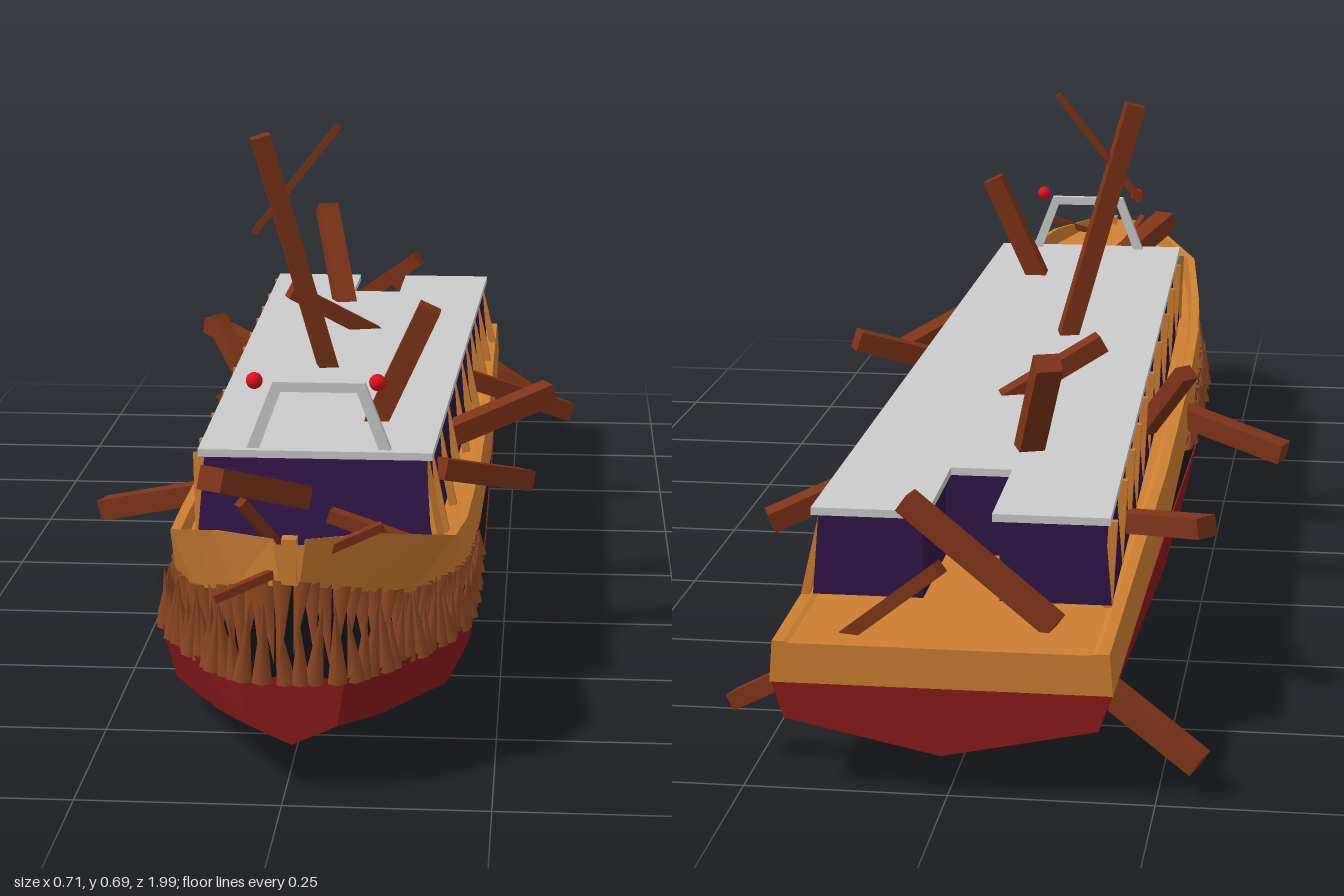
import * as THREE from 'three';
import { toCreasedNormals } from 'three/addons/utils/BufferGeometryUtils.js';

const mat = (color, extra = {}) => new THREE.MeshStandardMaterial({ color, side: THREE.DoubleSide, ...extra });
const M = {
  red: mat(0x8b1a1a), orange: mat(0xcd7f32), black: mat(0x0c0c0c), wood: mat(0x7d3417),
  tooth: mat(0x8f4a22), glass: mat(0x301548), grey: mat(0xcccccc), lamp: mat(0xe01020),
};

function add(parent, name, geometry, material) {
  const mesh = new THREE.Mesh(geometry, material);
  mesh.name = name;
  parent.add(mesh);
  return mesh;
}

// Skin over cross-sections (arrays of [x, y, z]), with optional end caps
function loft(rings, caps = false) {
  const pos = [];
  const tri = (a, b, c) => pos.push(...a, ...b, ...c);
  for (let i = 0; i < rings.length - 1; i++) {
    const a = rings[i], b = rings[i + 1];
    for (let j = 0; j < a.length - 1; j++) {
      tri(a[j], a[j + 1], b[j]);
      tri(a[j + 1], b[j + 1], b[j]);
    }
  }
  if (caps) {
    const s = rings[0], e = rings[rings.length - 1];
    for (let j = 1; j < s.length - 1; j++) {
      tri(s[0], s[j + 1], s[j]);
      tri(e[0], e[j], e[j + 1]);
    }
  }
  const g = new THREE.BufferGeometry();
  g.setAttribute('position', new THREE.Float32BufferAttribute(pos, 3));
  g.computeVertexNormals();
  return g;
}

// Full section from its +x half, running from one edge to the other
const mirror = (half) => [...half, ...half.slice().reverse().map(([x, y, z]) => [-x, y, z])];

// Lower jaw: z, rim half width, rim y, chine half width, chine y, keel y
const LOWER = [
  [-1, .205, .135, .19, .09, .05], [-.25, .213, .125, .203, .045, 0], [.2, .213, .1, .203, .045, .003],
  [.5, .21, .105, .198, .047, .006], [.68, .195, .122, .175, .05, .01],
  [.85, .13, .135, .1, .065, .035], [.955, .065, .145, .055, .085, .06],
];
// Upper jaw: z, lower half width, lower y, sheer half width, sheer y, deck y
const UPPER = [
  [-1, .207, .135, .203, .187, .185], [-.25, .211, .125, .206, .193, .19], [.2, .205, .135, .202, .205, .195],
  [.5, .198, .165, .195, .222, .205], [.65, .18, .187, .185, .24, .215],
  [.8, .135, .207, .165, .282, .24], [.9, .075, .237, .1, .31, .285], [.975, .012, .265, .02, .322, .315],
];

// Linear lookup of a column of a station table
function at(table, z, k) {
  let i = 0;
  while (i < table.length - 2 && table[i + 1][0] < z) i++;
  const [a, b] = [table[i], table[i + 1]];
  return THREE.MathUtils.lerp(a[k], b[k], THREE.MathUtils.clamp((z - a[0]) / (b[0] - a[0]), 0, 1));
}

const roofY = (z) => .34 - .035 * (.62 - z) / 1.46;
const cabinHalf = (z) => .153 + .034 * (.62 - z) / 1.46;

// Notched cabin plan pulled up between two heights that depend on z
function cabinBlock(inset, low, high, slant) {
  const s = new THREE.Shape();
  const f = .153 - inset, b = .187 - inset, n = .04 + inset, front = -.62 + inset, back = .84 - inset;
  [[f, front], [b, back], [n, back], [n, .66 - inset], [-n, .66 - inset], [-n, back], [-b, back], [-f, front]]
    .forEach(([x, y], i) => (i ? s.lineTo(x, y) : s.moveTo(x, y)));
  const g = new THREE.ExtrudeGeometry(s, { depth: 1, bevelEnabled: false });
  g.rotateX(-Math.PI / 2);
  const p = g.attributes.position;
  for (let i = 0; i < p.count; i++) {
    const z = p.getZ(i), top = p.getY(i) > .5;
    p.setY(i, top ? high(z) : low(z));
    if (!top && z > .5) p.setZ(i, z + slant);
    if (!top && Math.abs(p.getX(i)) > .1) p.setX(i, p.getX(i) + Math.sign(p.getX(i)) * slant * .25);
  }
  g.computeVertexNormals();
  return g;
}

// Square beam between two points
function beam(parent, name, a, b, w, material, h = w) {
  const A = new THREE.Vector3(...a), B = new THREE.Vector3(...b);
  const m = add(parent, name, new THREE.BoxGeometry(w, h, A.distanceTo(B)), material);
  m.position.copy(A).add(B).multiplyScalar(.5);
  m.lookAt(B);
  return m;
}

// Row of cones round one jaw; dir is +1 for rising teeth and -1 for hanging ones
function teethRow(parent, name, table, dir, count) {
  const half = table.filter((r) => r[0] >= -.1).map((r) => [r[1] - .008, r[2], r[0]]);
  const path = [...half, ...half.slice().reverse().map(([x, y, z]) => [-x, y, z])];
  const curve = new THREE.CatmullRomCurve3(path.map((p) => new THREE.Vector3(...p)), false, 'centripetal');
  const row = new THREE.Group();
  row.name = name;
  for (let i = 0; i < count; i++) {
    const p = curve.getPointAt((i + .5) / count);
    const len = (.02 + .075 * Math.max(0, p.z)) * (.85 + .3 * Math.abs(Math.sin(i * 2.3)));
    const tooth = add(row, 'tooth', new THREE.ConeGeometry(.006 + len * .07, len, 6), M.tooth);
    tooth.position.set(p.x, p.y + dir * (len / 2 - .006), p.z);
    tooth.rotation.set(dir > 0 ? .12 : Math.PI - .12, 0, Math.sin(i * 1.7) * .12);
  }
  parent.add(row);
}

export function createModel() {
  const model = new THREE.Group();
  const boat = new THREE.Group();
  boat.name = 'boat';
  boat.position.x = .008;
  model.add(boat);

  // Lower hull and upper hull
  const lowerRings = LOWER.map(([z, w, y, cw, cy, k]) => mirror([[w, y, z], [cw, cy, z], [0, k, z]]));
  add(boat, 'lowerHull', toCreasedNormals(loft(lowerRings, true), .5), M.red);
  const upperRings = UPPER.map(([z, w, y, sw, sy, d]) =>
    mirror([[w, y, z], [sw, sy, z], [sw * .93, sy, z], [sw * .9, d, z]]));
  add(boat, 'upperHull', loft(upperRings, true), M.orange);
  add(boat, 'bowPost', new THREE.BoxGeometry(.018, .055, .02), M.orange).position.set(0, .295, .97);

  // Dark mouth lining
  add(boat, 'mouthFloor', loft(LOWER.slice(1).map(([z, w, y]) => mirror([[w - .002, y, z], [w - .02, y - .006, z]]))), M.black);
  add(boat, 'palate', loft(UPPER.slice(1).map(([z, w, y]) => mirror([[w * .98, y, z], [w * .6, y + .008, z]]))), M.black);
  teethRow(boat, 'lowerTeeth', LOWER, 1, 76);
  teethRow(boat, 'upperTeeth', UPPER, -1, 70);

  // Cabin, roof and window posts
  add(boat, 'cabin', cabinBlock(.008, () => .19, (z) => roofY(z) - .008, .035), M.glass);
  add(boat, 'roof', cabinBlock(0, (z) => roofY(z) - .01, roofY, 0), M.grey);
  for (const side of [1, -1]) {
    for (const z of [.6, .52, .355, .19, .02, -.15, -.28, -.41, -.53, -.66, -.825]) {
      const w = cabinHalf(z);
      const lean = z === .6 ? .03 : 0;
      beam(boat, 'windowPost', [side * (w + .004), at(UPPER, z, 5), z + lean], [side * (w - .006), roofY(z) - .008, z], .011, M.orange);
    }
  }

  // Lamp arch on the roof
  const arch = new THREE.Shape([[-.095, 0], [-.06, .09], [.06, .09], [.095, 0], [.079, 0], [.05, .077], [-.05, .077], [-.079, 0]]
    .map(([x, y]) => new THREE.Vector2(x, y)));
  add(boat, 'lampArch', new THREE.ExtrudeGeometry(arch, { depth: .012, bevelEnabled: false }), M.grey).position.set(.004, .338, .594);
  for (const x of [-.079, .081]) {
    add(boat, 'lamp', new THREE.SphereGeometry(.011, 16, 12), M.lamp).position.set(x, .431, .612);
  }

  // Driftwood stuck in the boat: outer end, inner end, thickness
  const planks = [
    [[-.12, .675, .055], [-.015, .3, .03], .033], [[-.005, .69, .045], [-.13, .53, .05], .012],
    [[.148, .492, .41], [.06, .3, .41], .036], [[-.08, .455, -.67], [-.03, .27, -.53], .034],
    [[-.105, .385, -.26], [.04, .3, -.31], .03], [[-.105, .35, .81], [-.01, .285, .64], .036],
    [[.035, .28, .71], [.14, .25, .73], .02], [[-.06, .34, .88], [-.02, .28, .85], .015],
    [[-.08, .25, .985], [.115, .325, .92], .012],
    [[-.35, .122, .12], [-.16, .172, .18], .036], [[-.225, .34, -.25], [-.16, .24, -.19], .028],
    [[-.285, .245, -.67], [-.17, .215, -.56], .032], [[-.3, .04, -.96], [-.17, .125, -.92], .032],
    [[.312, .298, .06], [.16, .245, .13], .036], [[.278, .225, .3], [.16, .275, .44], .034],
    [[.342, .155, -.43], [.17, .225, -.36], .034], [[.28, .075, -.91], [.17, .14, -.94], .026],
    [[.07, .33, -.875], [-.12, .19, -.915], .03], [[.01, .28, -.98], [.13, .18, -.95], .02],
    [[-.06, .012, .3], [-.1, .06, .3], .03],
  ];
  for (const [a, b, w] of planks) beam(model, 'plank', a, b, w, M.wood, w * .85);
  return model;
}
